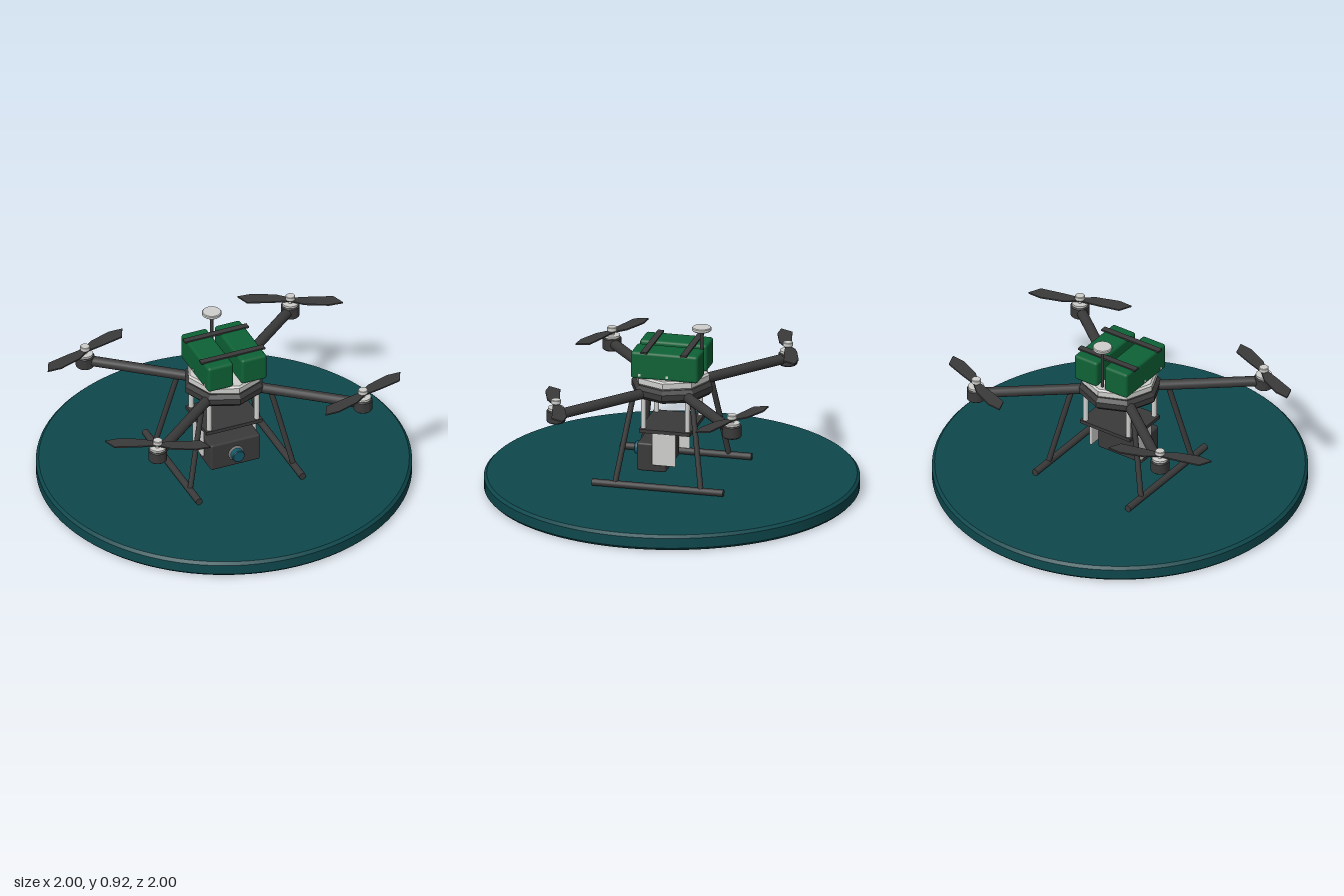
import * as THREE from 'three';
import { toCreasedNormals } from 'three/addons/utils/BufferGeometryUtils.js';
import { RoundedBoxGeometry } from 'three/addons/geometries/RoundedBoxGeometry.js';

const material = (name, color) => {
  const m = new THREE.MeshStandardMaterial({ color });
  m.name = name;
  return m;
};

export function createModel() {
  const teal = material('deep teal', 0x0e484d);
  const dark = material('charcoal', 0x3b3a3a);
  const green = material('battery green', 0x0e6236);
  const light = material('light grey', 0xcfcfcd);
  const glass = material('lens teal', 0x14596a);

  const model = new THREE.Group();
  model.name = 'quadcopter';

  const add = (name, geo, mat, x = 0, y = 0, z = 0, parent = model) => {
    const mesh = new THREE.Mesh(geo, mat);
    mesh.name = name;
    mesh.position.set(x, y, z);
    parent.add(mesh);
    return mesh;
  };
  // Chamfered disc or prism standing on y = 0
  const disc = (r, h, c, sides) => toCreasedNormals(new THREE.LatheGeometry(
    [[0, 0], [r - c, 0], [r, c], [r, h - c], [r - c, h], [0, h]].map(p => new THREE.Vector2(...p)), sides), 0.5);
  const rod = (name, a, b, r, mat) => {
    const from = new THREE.Vector3(...a), to = new THREE.Vector3(...b);
    const dir = to.clone().sub(from);
    const mesh = add(name, new THREE.CylinderGeometry(r, r, dir.length(), 16), mat);
    mesh.position.copy(from).add(to).multiplyScalar(0.5);
    mesh.quaternion.setFromUnitVectors(new THREE.Vector3(0, 1, 0), dir.normalize());
    return mesh;
  };
  // Swept blade outline, mirrored for the opposite spin
  const bladeGeometry = (spin) => {
    const outline = [[0, -0.015], [0.1, -0.034], [0.225, -0.052], [0.282, 0], [0.21, 0.03], [0.08, 0.037], [0, 0.015]];
    const shape = new THREE.Shape(outline.map(([u, v]) => new THREE.Vector2(u, v * spin)));
    return new THREE.ExtrudeGeometry(shape, { depth: 0.008, bevelEnabled: false })
      .translate(0, 0, -0.004).rotateX(Math.PI / 2);
  };

  // Landing pad
  add('landingPad', disc(1, 0.085, 0.015, 96), teal);

  // Octagonal hub and top plate
  add('hub', disc(0.222, 0.072, 0.02, 8), dark, 0, 0.543, 0);
  add('topPlate', disc(0.206, 0.05, 0.01, 8), light, 0, 0.615, 0);

  // Arms, motors and propellers
  for (const sx of [-1, 1]) for (const sz of [-1, 1]) {
    rod('arm', [sx * 0.12, 0.572, sz * 0.1], [sx * 0.595, 0.572, sz * 0.483], 0.028, dark);
    const rotor = new THREE.Group();
    rotor.name = 'rotor';
    rotor.position.set(sx * 0.595, 0, sz * 0.483);
    model.add(rotor);
    add('motor', disc(0.05, 0.07, 0.006, 32), dark, 0, 0.535, 0, rotor);
    add('motorRing', new THREE.CylinderGeometry(0.043, 0.043, 0.012, 32), light, 0, 0.611, 0, rotor);
    add('motorShaft', new THREE.CylinderGeometry(0.012, 0.012, 0.03, 16), light, 0, 0.625, 0, rotor);
    add('propellerCap', disc(0.026, 0.024, 0.003, 24), light, 0, 0.637, 0, rotor);
    const spin = sx === -sz ? 1 : -1;
    for (const half of [0, Math.PI]) {
      const blade = add('propellerBlade', bladeGeometry(spin), dark, 0, 0.633, 0, rotor);
      blade.rotation.y = (spin > 0 ? -0.51 : 0.38) + half;
    }
  }

  // Landing skids and legs
  for (const sx of [-1, 1]) {
    rod('skid', [sx * 0.3, 0.105, -0.36], [sx * 0.3, 0.105, 0.36], 0.019, dark);
    for (const sz of [-1, 1]) {
      rod('leg', [sx * 0.198, 0.57, sz * 0.162], [sx * 0.3, 0.105, sz * 0.236], 0.015, dark);
    }
  }

  // Twin batteries with side contacts
  for (const sx of [-1, 1]) {
    add('battery', new RoundedBoxGeometry(0.148, 0.152, 0.37, 3, 0.016), green, sx * 0.097, 0.735, 0);
    for (const z of [-0.015, 0.135]) {
      add('batteryContact', new THREE.BoxGeometry(0.004, 0.014, 0.014), light, sx * 0.171, 0.682, z);
    }
  }
  for (const z of [-0.11, 0.108]) {
    add('batteryStrap', new THREE.BoxGeometry(0.37, 0.01, 0.034), dark, 0, 0.813, z);
  }

  // Satellite antenna
  rod('antennaMast', [0, 0.66, -0.163], [0, 0.905, -0.163], 0.009, dark);
  add('antennaDisc', disc(0.052, 0.02, 0.004, 32), light, 0, 0.902, -0.163);

  // Payload shelf on four posts
  for (const sx of [-1, 1]) for (const sz of [-1, 1]) {
    rod('payloadPost', [sx * 0.138, 0.37, sz * 0.12], [sx * 0.138, 0.55, sz * 0.12], 0.014, light);
  }
  add('payloadShelf', new THREE.BoxGeometry(0.326, 0.02, 0.28), dark, 0, 0.365, 0);

  // Camera in its yoke
  for (const sx of [-1, 1]) {
    add('cameraYoke', new RoundedBoxGeometry(0.016, 0.182, 0.13, 2, 0.006), light, sx * 0.151, 0.266, 0.005);
  }
  add('cameraBody', new RoundedBoxGeometry(0.286, 0.158, 0.16, 3, 0.012), dark, 0, 0.212, 0.077);
  add('lensRing', disc(0.042, 0.012, 0.003, 32), light, 0, 0.213, 0.155).rotation.x = Math.PI / 2;
  add('lens', disc(0.035, 0.045, 0.004, 32), glass, 0, 0.213, 0.155).rotation.x = Math.PI / 2;

  return model;
}
